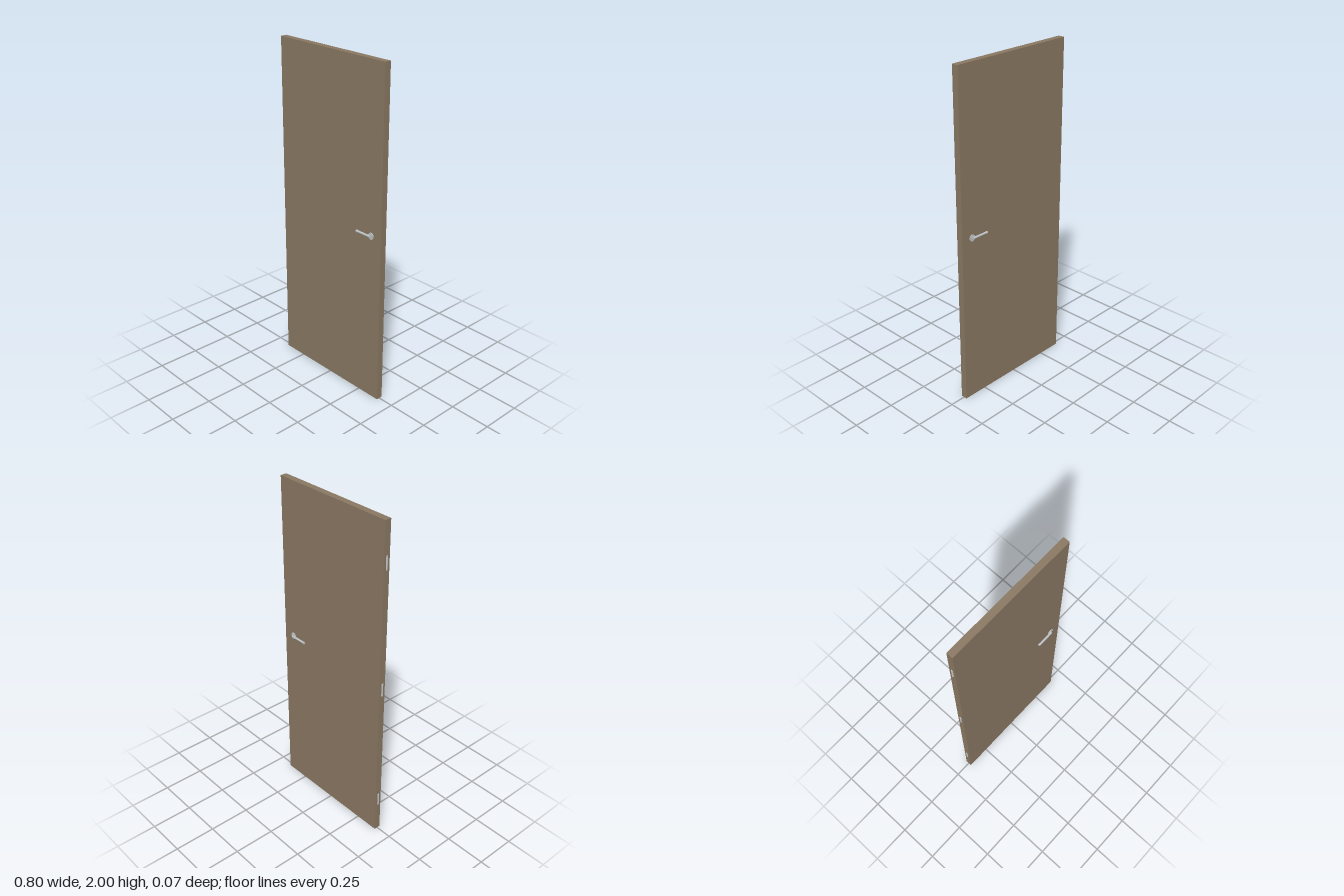
import * as THREE from 'three';

export function createModel() {
  const wood = new THREE.MeshStandardMaterial({ name: 'brown wood', color: 0x8a7862 });
  const steel = new THREE.MeshStandardMaterial({ name: 'brushed steel', color: 0xbec2c5 });
  const door = new THREE.Group();
  door.name = 'door';

  const add = (parent, name, geometry, material, x, y, z) => {
    const mesh = new THREE.Mesh(geometry, material);
    mesh.name = name;
    mesh.position.set(x, y, z);
    parent.add(mesh);
    return mesh;
  };

  // Cylinder lying along x or z
  const rod = (radius, length, axis, sides = 16) => {
    const g = new THREE.CylinderGeometry(radius, radius, length, sides);
    return axis === 'x' ? g.rotateZ(Math.PI / 2) : g.rotateX(Math.PI / 2);
  };

  // Flat door leaf
  const T = 0.0194;
  add(door, 'leaf', new THREE.BoxGeometry(0.799, 2, T * 2), wood, 0.0025, 1, 0);

  // One lever handle on each face
  for (const side of [1, -1]) {
    const handle = new THREE.Group();
    handle.name = side > 0 ? 'frontHandle' : 'backHandle';
    handle.position.set(0.328, 1.03, 0);
    add(handle, 'rosette', rod(0.02, 0.004, 'z', 24), steel, 0, 0, side * (T + 0.002));
    add(handle, 'collar', rod(0.011, 0.003, 'z', 20), steel, 0, 0, side * (T + 0.0045));
    add(handle, 'neck', rod(0.0065, 0.01, 'z'), steel, -0.0065, 0, side * (T + 0.005));
    add(handle, 'lever', rod(0.0065, 0.1, 'x'), steel, -0.05, 0, side * 0.0285);
    add(handle, 'leverEnd', rod(0.0075, 0.008, 'x'), steel, -0.102, 0, side * 0.0285);
    door.add(handle);
  }

  // Three hinges on the right edge, each a thin plate with a barrel
  for (const y of [1.767, 1.007, 0.227]) {
    const hinge = new THREE.Group();
    hinge.name = 'hinge';
    hinge.position.set(-0.397, y, 0);
    add(hinge, 'hingeBarrel', new THREE.CylinderGeometry(0.0055, 0.0055, 0.08, 16), steel, 0, 0, 0);
    door.add(hinge);
  }
  return door;
}
